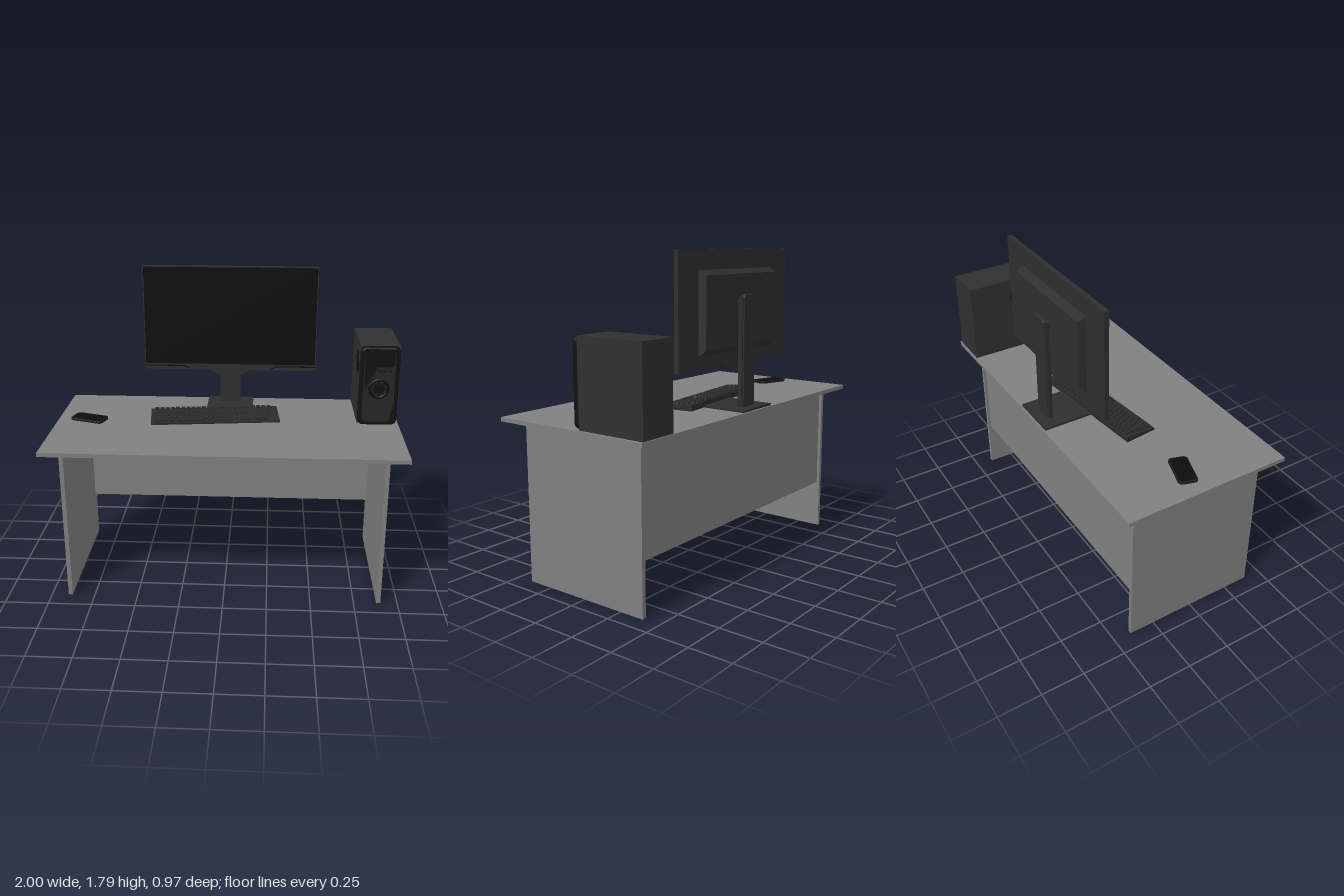
import * as THREE from 'three';
import { mergeGeometries } from 'three/addons/utils/BufferGeometryUtils.js';

const mat = (color, flatShading = false) => new THREE.MeshStandardMaterial({ color, flatShading });

function add(parent, name, geometry, material) {
  const mesh = new THREE.Mesh(geometry, material);
  mesh.name = name;
  parent.add(mesh);
  return mesh;
}

// Box given by its limits on each axis
function span(x0, x1, y0, y1, z0, z1) {
  return new THREE.BoxGeometry(x1 - x0, y1 - y0, z1 - z0)
    .translate((x0 + x1) / 2, (y0 + y1) / 2, (z0 + z1) / 2);
}

function roundedRect(w, h, r) {
  const s = new THREE.Shape(), x = w / 2, y = h / 2;
  s.absarc(x - r, y - r, r, 0, Math.PI / 2);
  s.absarc(-x + r, y - r, r, Math.PI / 2, Math.PI);
  s.absarc(-x + r, -y + r, r, Math.PI, Math.PI * 1.5);
  s.absarc(x - r, -y + r, r, Math.PI * 1.5, Math.PI * 2);
  return s;
}

const extrude = (shape, depth, bevel = 0) => new THREE.ExtrudeGeometry(shape, {
  depth, curveSegments: 8, bevelEnabled: bevel > 0, bevelSize: bevel,
  bevelThickness: bevel, bevelOffset: -bevel, bevelSegments: 2,
});

const polygon = (points) => new THREE.Shape(points.map(([x, y]) => new THREE.Vector2(x, y)));

const TOP = 0.928;

function createDesk() {
  const desk = new THREE.Group(), grey = mat(0x808080);
  desk.name = 'desk';
  add(desk, 'deskTop', span(-1, 1, 0.905, TOP, -0.486, 0.486), grey);
  for (const [name, x] of [['leftLeg', 0.892], ['rightLeg', -0.892]]) {
    add(desk, name, span(x - 0.012, x + 0.012, 0, 0.905, -0.397, 0.4), grey);
  }
  add(desk, 'modestyPanel', span(-0.88, 0.88, 0.29, 0.905, -0.38, -0.357), grey);
  return desk;
}

function createMonitor() {
  const monitor = new THREE.Group();
  const shell = mat(0x2e2e2e), black = mat(0x0c0c0c);
  monitor.name = 'monitor';
  add(monitor, 'panel', span(-0.51, 0.52, 1.17, 1.795, -0.325, -0.297), shell);
  add(monitor, 'screen', span(-0.505, 0.515, 1.207, 1.79, -0.3, -0.295), black);

  // Raised strips at both lower corners of the bezel
  for (const side of [-1, 1]) {
    const strip = polygon([[0.512, 1.197], [0.28, 1.197], [0.24, 1.178], [0.25, 1.178], [0.285, 1.191], [0.512, 1.191]]
      .map(([x, y]) => [side * x, y]));
    add(monitor, 'bezelStrip', extrude(strip, 0.004), black).position.set(0.005, 0, -0.298);
  }
  const chin = polygon([[-0.115, 1.185], [-0.115, 1.17], [-0.08, 1.146], [0.09, 1.146], [0.125, 1.17], [0.125, 1.185]]);
  add(monitor, 'chin', extrude(chin, 0.032), shell).position.z = -0.326;

  // Rear housing: a box narrowed towards the back
  const housing = span(-0.34, 0.35, 1.24, 1.69, -0.367, -0.325);
  const p = housing.attributes.position;
  for (let i = 0; i < p.count; i++) {
    if (p.getZ(i) > -0.35) continue;
    p.setX(i, p.getX(i) - Math.sign(p.getX(i)) * 0.012);
    p.setY(i, p.getY(i) > 1.4 ? 1.665 : 1.275);
  }
  housing.computeVertexNormals();
  add(monitor, 'rearHousing', housing, shell);

  // Stand
  add(monitor, 'mount', span(-0.04, 0.05, 1.5, 1.525, -0.39, -0.36), shell);
  add(monitor, 'column', span(-0.06, 0.066, TOP, 1.545, -0.41, -0.385), shell);
  add(monitor, 'columnBack', extrude(roundedRect(0.11, 0.625, 0.02), 0.012, 0.004), shell)
    .position.set(0.003, 1.243, -0.413);
  add(monitor, 'base', span(-0.135, 0.145, TOP, 0.94, -0.475, -0.185), shell);
  return monitor;
}

function createTower() {
  const tower = new THREE.Group();
  const shell = mat(0x303030), black = mat(0x111111), trim = mat(0x262626);
  tower.name = 'computerTower';
  const cx = 0.8725;
  add(tower, 'case', span(0.76, 0.985, TOP, 1.395, -0.48, -0.07), shell);
  add(tower, 'frontBezel', extrude(roundedRect(0.225, 0.467, 0.035), 0.022, 0.01), black)
    .position.set(cx, 1.1615, -0.068);
  add(tower, 'facePlate', extrude(roundedRect(0.182, 0.42, 0.035), 0.003), trim)
    .position.set(cx, 1.16, -0.039);
  add(tower, 'driveCover', extrude(roundedRect(0.165, 0.085, 0.02), 0.003), black)
    .position.set(cx, 1.322, -0.037);
  // Row of ports
  for (let i = 0; i < 5; i++) {
    add(tower, 'port', new THREE.BoxGeometry(0.018, 0.009, 0.003), black)
      .position.set(cx + (i - 2) * 0.029, 1.255, -0.035);
  }
  // Round control
  add(tower, 'dialRing', new THREE.TorusGeometry(0.052, 0.009, 8, 32), black).position.set(cx, 1.15, -0.036);
  add(tower, 'dial', new THREE.CylinderGeometry(0.03, 0.034, 0.014, 24).rotateX(Math.PI / 2), black)
    .position.set(cx, 1.15, -0.032);
  for (let i = 0; i < 8; i++) {
    const a = i * Math.PI / 4;
    const spoke = add(tower, 'dialSpoke', new THREE.BoxGeometry(0.02, 0.005, 0.004), black);
    spoke.position.set(cx + Math.cos(a) * 0.041, 1.15 + Math.sin(a) * 0.041, -0.035);
    spoke.rotation.z = a;
  }
  // Round vent on the inner side
  const vent = new THREE.Group();
  vent.name = 'sideVent';
  vent.position.set(0.759, 1.28, -0.16);
  vent.rotation.y = -Math.PI / 2;
  for (const r of [0.06, 0.043, 0.026]) add(vent, 'ventRing', new THREE.TorusGeometry(r, 0.005, 6, 28), black);
  add(vent, 'ventDisc', new THREE.CylinderGeometry(0.06, 0.06, 0.004, 28).rotateX(Math.PI / 2), black);
  tower.add(vent);
  return tower;
}

function createKeyboard() {
  const keyboard = new THREE.Group(), dark = mat(0x2c2c2c, true);
  keyboard.name = 'keyboard';
  const W = 0.755, slope = 0.12;
  // Wedge body, extruded across the width
  const side = polygon([[-0.095, 0], [0.095, 0], [0.095, 0.034], [-0.095, 0.011]]);
  add(keyboard, 'keyboardBody', extrude(side, W).rotateY(Math.PI / 2).translate(-W / 2, 0, 0), dark);

  // Keys: four-sided tapered caps in three blocks
  const caps = [], pitch = 0.031;
  const key = (x, row, w = 1, d = 1) => {
    const z = (row === 0 ? -0.078 : -0.07 + row * 0.0285) + (d - 1) * 0.014;
    const cap = new THREE.CylinderGeometry(0.56, 0.68, 0.014, 4).rotateY(Math.PI / 4);
    cap.scale(w * pitch - 0.004, 1, d * 0.0285 - 0.004);
    caps.push(cap.rotateX(slope).translate(x + w * pitch / 2, 0.0225 - z * slope + 0.006, z));
  };
  const left = -W / 2 + 0.02, nav = left + 15.3 * pitch, pad = nav + 3.3 * pitch;
  for (let row = 0; row < 5; row++) {
    const first = [1, 1, 1.5, 1.75, 2.25][row], count = [13, 13, 12, 11, 10][row];
    key(left, row, first);
    for (let i = 0; i < count; i++) key(left + (first + i) * pitch, row);
    key(left + (first + count) * pitch, row, 15 - first - count);
    if (row < 3) for (let i = 0; i < 3; i++) key(nav + i * pitch, row);
    for (let i = 0; i < (row < 3 ? 4 : 3); i++) key(pad + i * pitch, row);
  }
  let x = left;
  for (const w of [1.25, 1.25, 1.25, 6.25, 1.25, 1.25, 1.25, 1.25]) {
    key(x, 5, w);
    x += w * pitch;
  }
  for (let i = 0; i < 3; i++) key(nav + i * pitch, 5);
  key(nav + pitch, 4);
  key(pad, 5, 2);
  key(pad + 2 * pitch, 5);
  key(pad + 3 * pitch, 3, 1, 3);
  add(keyboard, 'keys', mergeGeometries(caps), dark);

  keyboard.position.set(-0.075, TOP + 0.002, -0.098);
  keyboard.rotation.y = 0.113;
  return keyboard;
}

function createPhone() {
  const phone = new THREE.Group();
  phone.name = 'phone';
  add(phone, 'phoneBody', extrude(roundedRect(0.205, 0.106, 0.022), 0.01, 0.003).rotateX(-Math.PI / 2), mat(0x1c1c1c))
    .position.y = 0.004;
  add(phone, 'phoneScreen', extrude(roundedRect(0.19, 0.092, 0.016), 0.001).rotateX(-Math.PI / 2), mat(0x0c0c0c))
    .position.y = 0.0165;
  phone.position.set(-0.815, TOP + 0.001, -0.04);
  phone.rotation.y = -0.31;
  return phone;
}

export function createModel() {
  const model = new THREE.Group();
  model.name = 'computerDesk';
  model.add(createDesk(), createMonitor(), createTower(), createKeyboard(), createPhone());
  return model;
}
